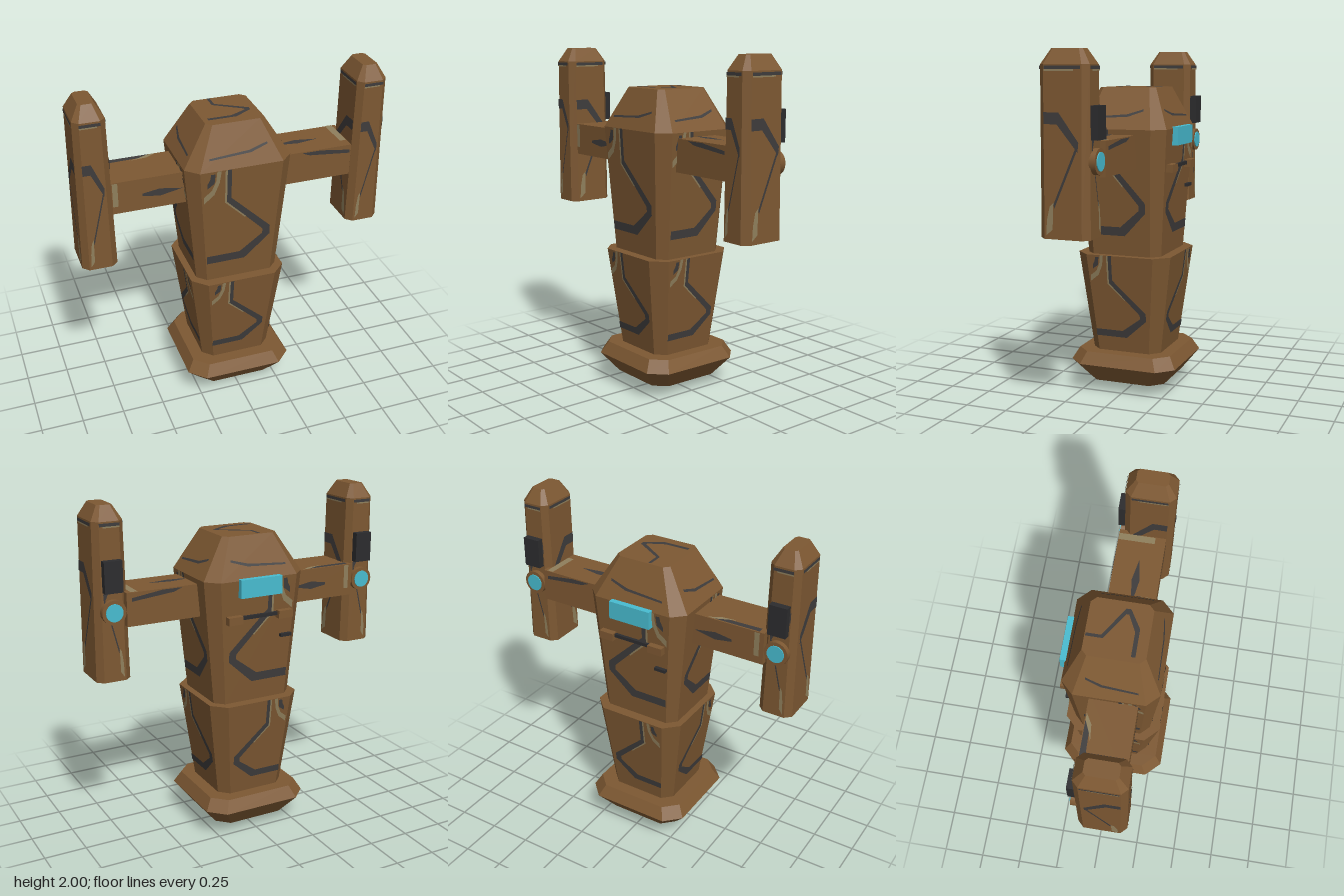
import * as THREE from 'three';

const mat = (name, color, extra = {}) => Object.assign(new THREE.MeshStandardMaterial({ color, ...extra }), { name });

export function createModel() {
  const group = new THREE.Group();
  const brown = mat('brown armour', 0x7d5832);
  const black = mat('black underside', 0x1c1c1c);
  const dark = mat('dark metal', 0x2c2c2e);
  const stripe = mat('charcoal stripe', 0x3e3c3c, { side: THREE.DoubleSide });
  const tan = mat('tan stripe', 0x8f7f5c, { side: THREE.DoubleSide });
  const teal = mat('teal light', 0x48bcd0);

  const add = (name, geo, material, x = 0, y = 0, z = 0) => {
    const m = new THREE.Mesh(geo, material);
    m.name = name;
    m.position.set(x, y, z);
    group.add(m);
    return m;
  };
  const box = (name, material, w, h, d, x, y, z) => add(name, new THREE.BoxGeometry(w, h, d), material, x, y, z);

  // Loft through chamfered rectangles: [y, halfX, halfZ, chamfer], lowest first.
  // Group 0 is the shell, group 1 the underside.
  const loft = (rings) => {
    const loops = rings.map(([y, hx, hz, c]) => [
      [c - hx, hz], [hx - c, hz], [hx, hz - c], [hx, c - hz],
      [hx - c, -hz], [c - hx, -hz], [-hx, c - hz], [-hx, hz - c],
    ].map(([x, z]) => [x, y, z]));
    const pos = [];
    const tri = (...p) => p.forEach((v) => pos.push(...v));
    for (let k = 0; k + 1 < loops.length; k++) {
      for (let i = 0; i < 8; i++) {
        const j = (i + 1) % 8, a = loops[k], b = loops[k + 1];
        tri(a[i], a[j], b[j]);
        tri(a[i], b[j], b[i]);
      }
    }
    const top = loops[loops.length - 1], low = loops[0];
    for (let i = 1; i < 7; i++) tri(top[0], top[i], top[i + 1]);
    const shell = pos.length / 3;
    for (let i = 1; i < 7; i++) tri(low[0], low[i + 1], low[i]);
    const g = new THREE.BufferGeometry();
    g.setAttribute('position', new THREE.Float32BufferAttribute(pos, 3));
    g.computeVertexNormals();
    g.addGroup(0, shell, 0);
    g.addGroup(shell, 18, 1);
    return g;
  };

  // Flat painted patch: an outline in (u, v) laid on a face by place(u, v)
  const paint = (name, material, outline, place) => {
    const g = new THREE.ShapeGeometry(new THREE.Shape(outline.map(([u, v]) => new THREE.Vector2(u, v))));
    const p = g.attributes.position;
    for (let i = 0; i < p.count; i++) p.setXYZ(i, ...place(p.getX(i), p.getY(i)));
    g.computeVertexNormals();
    return add(name, g, material);
  };
  const rect = (a, b, c, d) => [[a, b], [c, b], [c, d], [a, d]];

  // Hull
  add('upperHull', loft([
    [0.82, 0.245, 0.225, 0.05], [1.56, 0.312, 0.27, 0.07], [1.79, 0.168, 0.17, 0.03],
  ]), [brown, brown]);
  add('lowerHull', loft([[0.23, 0.21, 0.21, 0.055], [0.83, 0.285, 0.285, 0.08]]), [brown, brown]);
  add('baseSkirt', loft([
    [0.06, 0.235, 0.235, 0.07], [0.175, 0.325, 0.325, 0.09], [0.245, 0.285, 0.285, 0.08],
  ]), [brown, black]);
  add('baseNub', loft([[0, 0.065, 0.065, 0.02], [0.065, 0.11, 0.11, 0.03]]), [brown, brown]);

  // Hull camouflage, u across the face and v from bottom (0) to top (1)
  const hook = [
    [-0.06, 1], [-0.06, 0.75], [0.18, 0.43], [0.18, 0.35], [0.03, 0.16], [-0.2, 0.16],
    [-0.2, 0.23], [0, 0.23], [0.135, 0.37], [0.135, 0.41], [-0.085, 0.72], [-0.085, 1],
  ];
  const hookEdge = [
    [-0.085, 1], [-0.085, 0.72], [0.03, 0.56], [0.025, 0.55], [-0.097, 0.715], [-0.097, 1],
  ];
  const arc = [
    [-0.12, 1], [-0.13, 0.9], [-0.16, 0.8], [-0.22, 0.73], [-0.22, 0.79], [-0.175, 0.84], [-0.15, 0.92], [-0.145, 1],
  ];
  const corner = [[-0.155, 0.98], [-0.16, 0.9], [-0.2, 0.86], [-0.2, 0.9], [-0.185, 0.94], [-0.18, 0.98]];
  const e = 0.003;
  const paintSection = (name, y0, y1, x0, x1, z0, z1, su, sv) => {
    const y = (t) => y0 + (y1 - y0) * t;
    const hx = (t) => x0 + (x1 - x0) * t + e;
    const hz = (t) => z0 + (z1 - z0) * t + e;
    const faces = [
      (u, t) => [u * su, y(t), hz(t)], (u, t) => [u * su, y(t), -hz(t)],
      (u, t) => [hx(t), y(t), -u * sv], (u, t) => [-hx(t), y(t), -u * sv],
    ];
    for (const f of faces) {
      paint(name + 'HookStripe', stripe, hook, f);
      paint(name + 'HookEdge', tan, hookEdge, f);
      paint(name + 'Arc', tan, arc, f);
      paint(name + 'CornerMark', stripe, corner, f);
    }
  };
  paintSection('upperHull', 0.83, 1.56, 0.246, 0.312, 0.2256, 0.27, 1, 0.86);
  paintSection('lowerHull', 0.24, 0.83, 0.2113, 0.285, 0.2113, 0.285, 0.83, 0.83);

  // Dome markings
  paint('domeTopStripe', stripe, hook, (u, t) => [u * 0.7, 1.79 + e, 0.165 - 0.33 * t]);
  const slope = (h0, h1) => (y) => h0 + (h1 - h0) * (y - 1.56) / 0.23 + e;
  const domeZ = slope(0.27, 0.17), domeX = slope(0.312, 0.168);
  const domeLine = [[-0.18, 1.618], [0.06, 1.63], [0.16, 1.66], [0.16, 1.672], [0.05, 1.643], [-0.18, 1.628]];
  for (const s of [1, -1]) {
    paint('domeLine', stripe, domeLine, (u, y) => [u, y, s * domeZ(y)]);
    paint('domeLine', stripe, domeLine, (u, y) => [s * domeX(y), y, -u * 0.85]);
  }

  // Rear visor and the small rail below it
  box('visor', teal, 0.26, 0.105, 0.045, 0, 1.518, -0.278);
  box('rail', dark, 0.4, 0.02, 0.02, 0, 1.345, -0.265);
  for (const s of [1, -1]) box('railBlock', brown, 0.09, 0.045, 0.045, s * 0.16, 1.34, -0.273);
  box('smallLatch', dark, 0.07, 0.018, 0.03, -0.18, 1.207, -0.256);

  // Side pods and arms
  const podBand = [[-1, 1.68], [-0.2, 1.68], [0.85, 1.53], [0.8, 1.48], [-0.3, 1.62], [-1, 1.62]];
  const podLine = [[0.85, 1.51], [-0.45, 1.19], [-0.5, 1.21], [0.72, 1.51]];
  const podPatch = [[-0.9, 1.05], [-0.55, 1.08], [-0.5, 1.22], [-0.7, 1.2], [-0.85, 1.13]];
  const ring = new THREE.CylinderGeometry(0.07, 0.07, 0.035, 20).rotateX(Math.PI / 2);
  const lens = new THREE.CylinderGeometry(0.05, 0.05, 0.008, 20).rotateX(Math.PI / 2);
  for (const s of [1, -1]) {
    const side = s > 0 ? 'left' : 'right';
    const px = s * 0.803, pz = 0.055;
    add(side + 'Pod', loft([
      [1.03, 0.1, 0.14, 0.035], [1.92, 0.088, 0.138, 0.032], [2, 0.043, 0.088, 0.015],
    ]), [brown, black], px, 0, pz);
    box(side + 'Arm', brown, 0.46, 0.19, 0.27, s * 0.5, 1.435, 0.025);

    // Pod equipment on the rear face
    box(side + 'PodPack', dark, 0.105, 0.175, 0.045, px, 1.628, -0.101);
    add(side + 'PodRing', ring, brown, px, 1.43, -0.095);
    add(side + 'PodLens', lens, teal, px, 1.43, -0.114);

    // Pod markings
    const hx = (y) => 0.1 - 0.012 * (y - 1.03) / 0.89 + e;
    const faces = [
      (f, y) => [px + f * 0.06, y, pz + 0.14 + e], (f, y) => [px + f * 0.06, y, pz - 0.14 - e],
      (f, y) => [px + hx(y), y, pz - f * 0.105], (f, y) => [px - hx(y), y, pz - f * 0.105],
    ];
    for (const f of faces) {
      paint(side + 'PodBand', stripe, podBand, f);
      paint(side + 'PodLine', stripe, podLine, f);
      paint(side + 'PodPatch', tan, podPatch, f);
      paint(side + 'PodTopBand', stripe, rect(-0.95, 1.895, 0.95, 1.912), f);
      paint(side + 'PodTopEdge', tan, rect(-0.95, 1.887, 0.6, 1.895), f);
    }
  }

  // Arm markings
  const armTop = (x, z) => [x, 1.53 + e, z];
  const streak = [[0, 0.005], [0.1, 0.02], [0.23, 0], [0.1, -0.025], [0, -0.01]];
  paint('leftArmTopBand', tan, rect(0.665, -0.108, 0.705, 0.1), armTop);
  paint('leftArmTopStreak', stripe, streak, (u, v) => armTop(0.32 + u, 0.03 + v));
  paint('rightArmTopPatch', stripe, [[-0.7, -0.105], [-0.43, -0.105], [-0.5, -0.075], [-0.7, -0.07]], armTop);
  paint('rightArmTopEdge', tan, [[-0.43, -0.105], [-0.39, -0.105], [-0.45, -0.07], [-0.55, -0.06], [-0.5, -0.075]], armTop);
  for (const z of [0.16 + e, -0.11 - e]) {
    const armFace = (x, y) => [x, y, z];
    paint('rightArmBand', tan, rect(-0.705, 1.385, -0.675, 1.527), armFace);
    paint('rightArmStreak', stripe, streak, (u, v) => armFace(-0.54 + u, 1.435 + v));
    paint('leftArmPatch', stripe, [[0.4, 1.525], [0.45, 1.505], [0.7, 1.48], [0.7, 1.5], [0.52, 1.525]], armFace);
  }
  return group;
}
